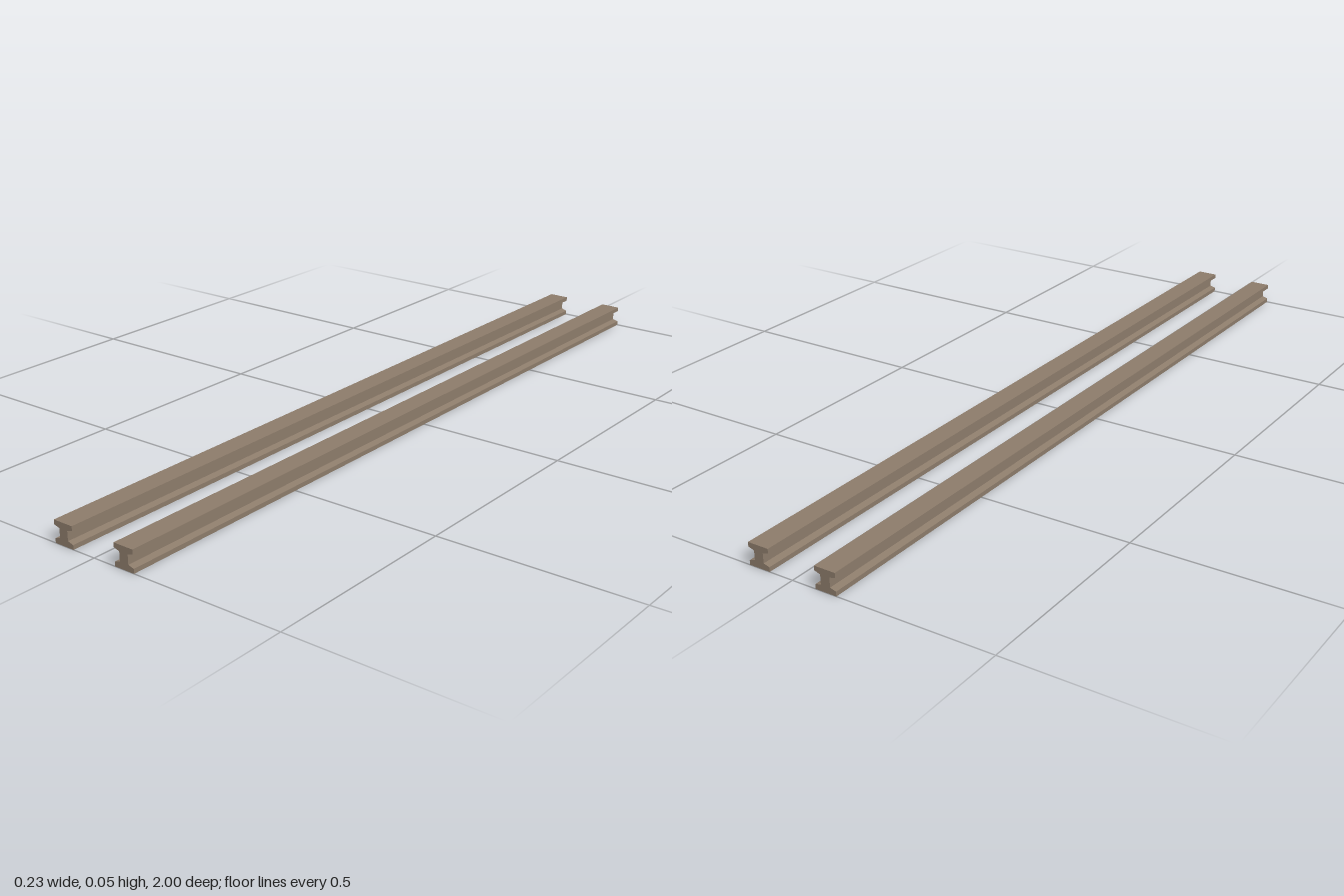
import * as THREE from 'three';

const LENGTH = 2, HEIGHT = 0.054;
const HALF_FLANGE = 0.027, HALF_WEB = 0.012;
const FLANGE_TIP = 0.011, FLANGE_ROOT = 0.0155; // flange thickness at its edge and at the web
const SPACING = 0.0885; // beam centre from the middle

// I-shaped section with tapered flanges, mirrored from its right half
function beamSection() {
  const right = [
    [HALF_FLANGE, 0],
    [HALF_FLANGE, FLANGE_TIP],
    [HALF_WEB, FLANGE_ROOT],
    [HALF_WEB, HEIGHT - FLANGE_ROOT],
    [HALF_FLANGE, HEIGHT - FLANGE_TIP],
    [HALF_FLANGE, HEIGHT],
  ];
  const left = right.map(([x, y]) => [-x, y]).reverse();
  return new THREE.Shape([...right, ...left].map(([x, y]) => new THREE.Vector2(x, y)));
}

export function createModel() {
  const group = new THREE.Group();
  group.name = 'beamPair';

  const steel = new THREE.MeshStandardMaterial({ color: 0x8c7b6a });
  steel.name = 'brownSteel';

  const geometry = new THREE.ExtrudeGeometry(beamSection(), { depth: LENGTH, bevelEnabled: false });
  geometry.translate(0, 0, -LENGTH / 2);

  // Two parallel beams running front to back
  for (const [name, side] of [['leftBeam', 1], ['rightBeam', -1]]) {
    const beam = new THREE.Mesh(geometry, steel);
    beam.name = name;
    beam.position.x = side * SPACING;
    group.add(beam);
  }
  return group;
}
